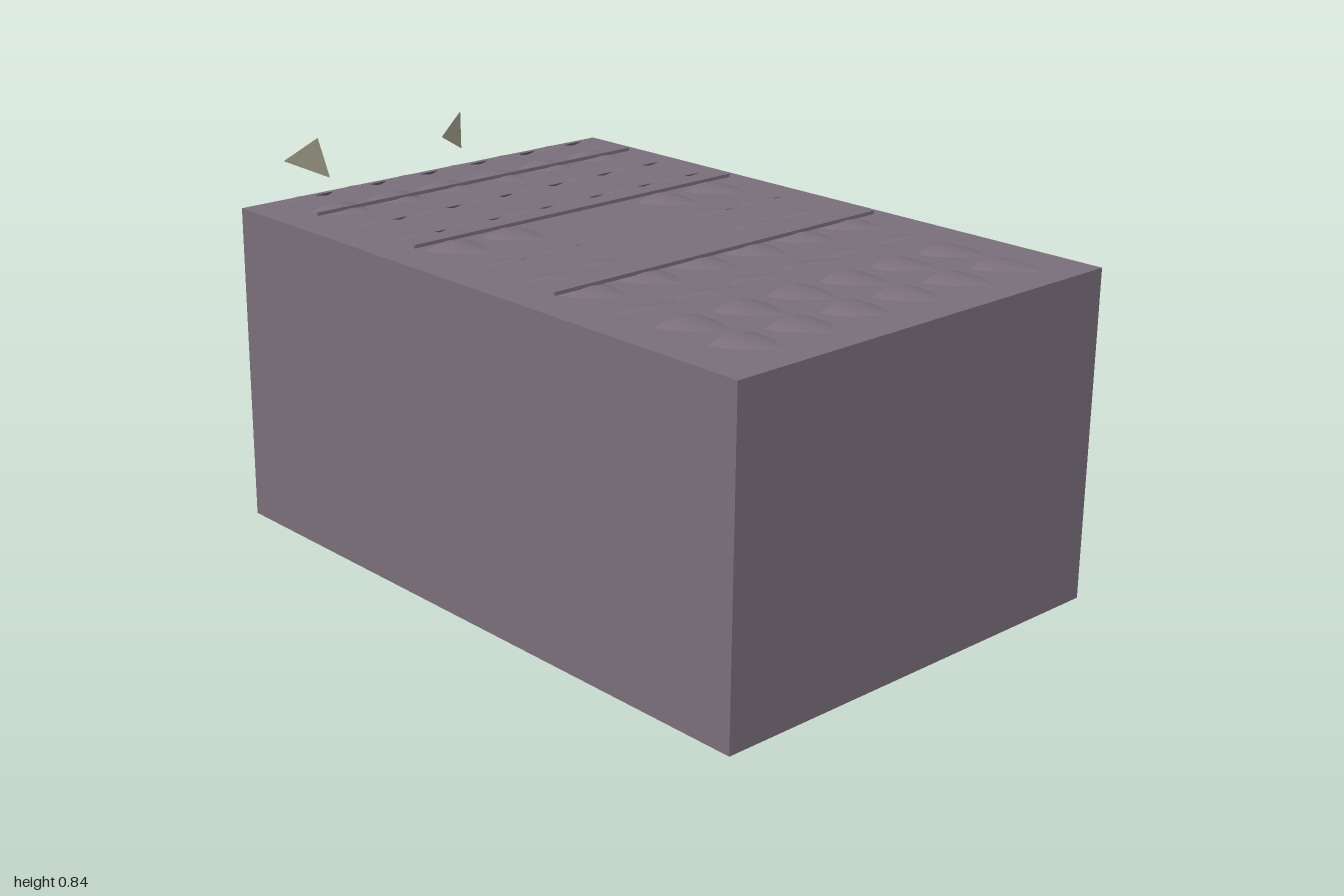
import * as THREE from 'three';

const mat = (color) => new THREE.MeshStandardMaterial({ color, flatShading: true, side: THREE.DoubleSide });
const hullMat = mat(0x7a6f7b);
const plateMat = mat(0x8a8699);
const shardMat = mat(0xb0ae98);

// Shield-shaped scale: wide at the back, pointed at the front, arched across
function scaleGeometry(baseY, tipY) {
  const length = 0.135, halfWidth = 0.06, arch = 0.012;
  const geo = new THREE.PlaneGeometry(2, 1, 6, 5).rotateX(-Math.PI / 2);
  const p = geo.attributes.position;
  for (let i = 0; i < p.count; i++) {
    const u = p.getX(i), t = p.getZ(i) + 0.5;
    const x = u * (1 - t * t);
    p.setXYZ(i, x * halfWidth, baseY + (tipY - baseY) * t - arch * x * x, t * length);
  }
  geo.computeVertexNormals();
  return geo;
}

function triangle(a, b, c) {
  const geo = new THREE.BufferGeometry();
  geo.setAttribute('position', new THREE.Float32BufferAttribute([...a, ...b, ...c], 3));
  geo.computeVertexNormals();
  return geo;
}

export function createModel() {
  const model = new THREE.Group();
  const add = (name, geo, material, x = 0, y = 0, z = 0, parent = model) => {
    const mesh = new THREE.Mesh(geo, material);
    mesh.name = name;
    mesh.position.set(x, y, z);
    parent.add(mesh);
    return mesh;
  };

  // Main block
  add('body', new THREE.BoxGeometry(1.07, 0.75, 1.59), hullMat, 0, 0.375, 0.205);

  // Rows of scales, some lifted at the tip, with an open patch in the middle
  const scales = new THREE.Group();
  scales.name = 'scales';
  model.add(scales);
  const lifted = scaleGeometry(0.75, 0.787);
  const lying = scaleGeometry(0.764, 0.764);
  const liftedRows = [0, 2, 3, 5, 6, 8];
  for (let row = 0; row < 11; row++) {
    for (let col = 0; col < 6; col++) {
      if (row >= 4 && row <= 6 && (col === 2 || col === 3)) continue;
      const geo = liftedRows.includes(row) ? lifted : lying;
      add('scale', geo, hullMat, -0.38 + col * 0.152, 0, -0.593 + row * 0.142, scales);
    }
  }

  // Thin seams running across the top
  for (const z of [-0.385, -0.03, 0.425]) {
    add('seam', new THREE.BoxGeometry(0.94, 0.008, 0.006), hullMat, 0, 0.766, z);
  }

  // Rear assembly: horizontal plate, two side plates and a back flap
  add('rearTopPlate', new THREE.BoxGeometry(0.5, 0.004, 0.36), plateMat, 0, 0.605, -0.82);
  for (const side of [-1, 1]) {
    add('rearSidePlate', new THREE.BoxGeometry(0.004, 0.335, 0.34), plateMat, side * 0.2, 0.477, -0.76);
  }
  add('rearFlap', new THREE.BoxGeometry(0.24, 0.285, 0.004), plateMat, 0, 0.449, -0.94);

  // Loose triangular shards above the rear assembly
  add('rightShard', triangle([-0.3, 0.79, -0.765], [-0.185, 0.735, -0.74], [-0.22, 0.84, -0.735]), shardMat);
  add('leftShard', triangle([0.14, 0.79, -0.715], [0.245, 0.735, -0.77], [0.22, 0.84, -0.74]), shardMat);

  return model;
}
